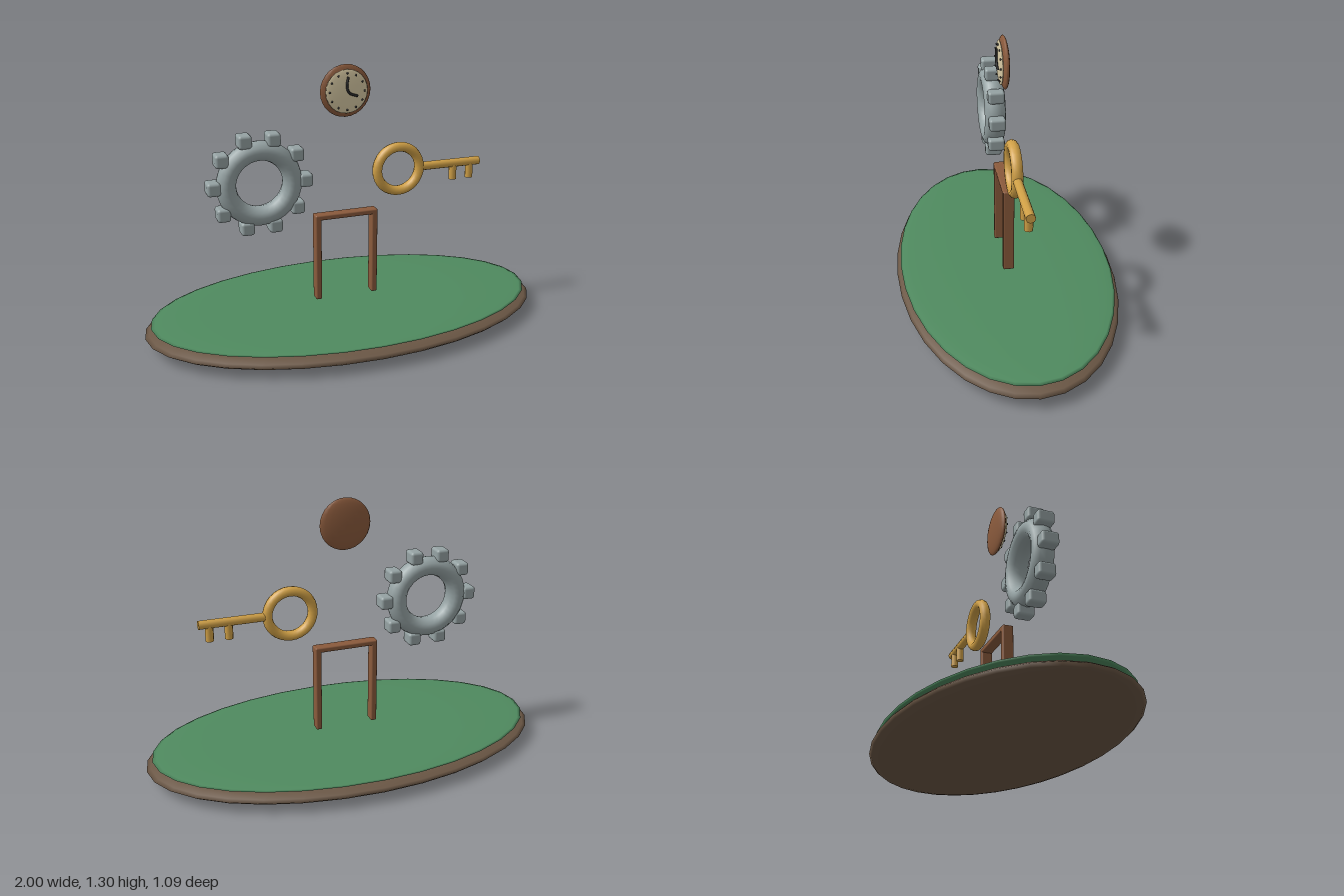
import * as THREE from 'three';
import { RoundedBoxGeometry } from 'three/addons/geometries/RoundedBoxGeometry.js';

const mat = (color) => new THREE.MeshStandardMaterial({ color });
const WOOD = mat(0x8a5a3c), EARTH = mat(0x6b5745), GRASS = mat(0x4f8a5f);
const STEEL = mat(0x95a2a3), GOLD = mat(0xd0a046), CREAM = mat(0xd8caa4), DARK = mat(0x2a2a2a);

function add(parent, name, geometry, material, x = 0, y = 0, z = 0) {
  const mesh = new THREE.Mesh(geometry, material);
  mesh.name = name;
  mesh.position.set(x, y, z);
  parent.add(mesh);
  return mesh;
}

function group(parent, name, x, y, z = 0) {
  const g = new THREE.Group();
  g.name = name;
  g.position.set(x, y, z);
  parent.add(g);
  return g;
}

// Sphere squashed to three radii
const ellipsoid = (rx, ry, rz, seg = 32, rows = 16) =>
  new THREE.SphereGeometry(1, seg, rows).scale(rx, ry, rz);

export function createModel() {
  const model = new THREE.Group();
  model.name = 'floatingObjects';

  // Oval island
  add(model, 'earthBase', ellipsoid(1, 0.06, 0.545), EARTH, 0, 0.06);
  add(model, 'grassTop', ellipsoid(0.97, 0.017, 0.525), GRASS, 0, 0.105);

  // Door frame
  const frame = group(model, 'doorFrame', 0, 0);
  for (const side of [-1, 1]) {
    add(frame, side < 0 ? 'rightPost' : 'leftPost',
      new RoundedBoxGeometry(0.03, 0.435, 0.054, 2, 0.007), WOOD, side * 0.145, 0.358);
  }
  add(frame, 'lintel', new RoundedBoxGeometry(0.32, 0.026, 0.054, 2, 0.007), WOOD, 0, 0.567);

  // Gear: thick ring with ten upright blocks
  const gear = group(model, 'gear', -0.425, 0.768);
  add(gear, 'gearRing', new THREE.TorusGeometry(0.158, 0.047, 12, 32).scale(1, 1, 1.15), STEEL);
  for (let i = 0; i < 10; i++) {
    const a = (i / 10) * Math.PI * 2;
    add(gear, 'gearTooth', new RoundedBoxGeometry(0.064, 0.064, 0.083, 2, 0.014), STEEL,
      Math.cos(a) * 0.22, Math.sin(a) * 0.22);
  }

  // Key
  const key = group(model, 'key', 0.275, 0.767);
  add(key, 'keyBow', new THREE.TorusGeometry(0.111, 0.024, 10, 32).scale(1, 1, 1.12), GOLD);
  add(key, 'keyShaft', new THREE.CylinderGeometry(0.022, 0.022, 0.315, 8).rotateZ(Math.PI / 2),
    GOLD, 0.28, 0);
  for (const x of [0.296, 0.387]) {
    add(key, 'keyBit', new THREE.CylinderGeometry(0.02, 0.02, 0.08, 8), GOLD, x, -0.043);
  }

  // Clock: lens-shaped case, dial, hour dots and a bent pair of hands
  const clock = group(model, 'clock', 0, 1.175);
  add(clock, 'clockCase', ellipsoid(0.125, 0.125, 0.022, 20, 14), WOOD);
  add(clock, 'clockDial', ellipsoid(0.104, 0.104, 0.008, 24, 12), CREAM, 0, 0, 0.019);
  for (let i = 0; i < 12; i++) {
    const a = (i / 12) * Math.PI * 2;
    add(clock, 'hourDot', new THREE.SphereGeometry(0.005, 8, 6), DARK,
      Math.cos(a) * 0.086, Math.sin(a) * 0.086, 0.027);
  }
  const hands = new THREE.CatmullRomCurve3([
    new THREE.Vector3(0.003, 0.072, 0),
    new THREE.Vector3(-0.004, 0.025, 0),
    new THREE.Vector3(0.008, -0.005, 0),
    new THREE.Vector3(0.048, -0.022, 0),
  ]);
  add(clock, 'clockHands', new THREE.TubeGeometry(hands, 20, 0.006, 8), DARK, 0, 0, 0.034);

  return model;
}
